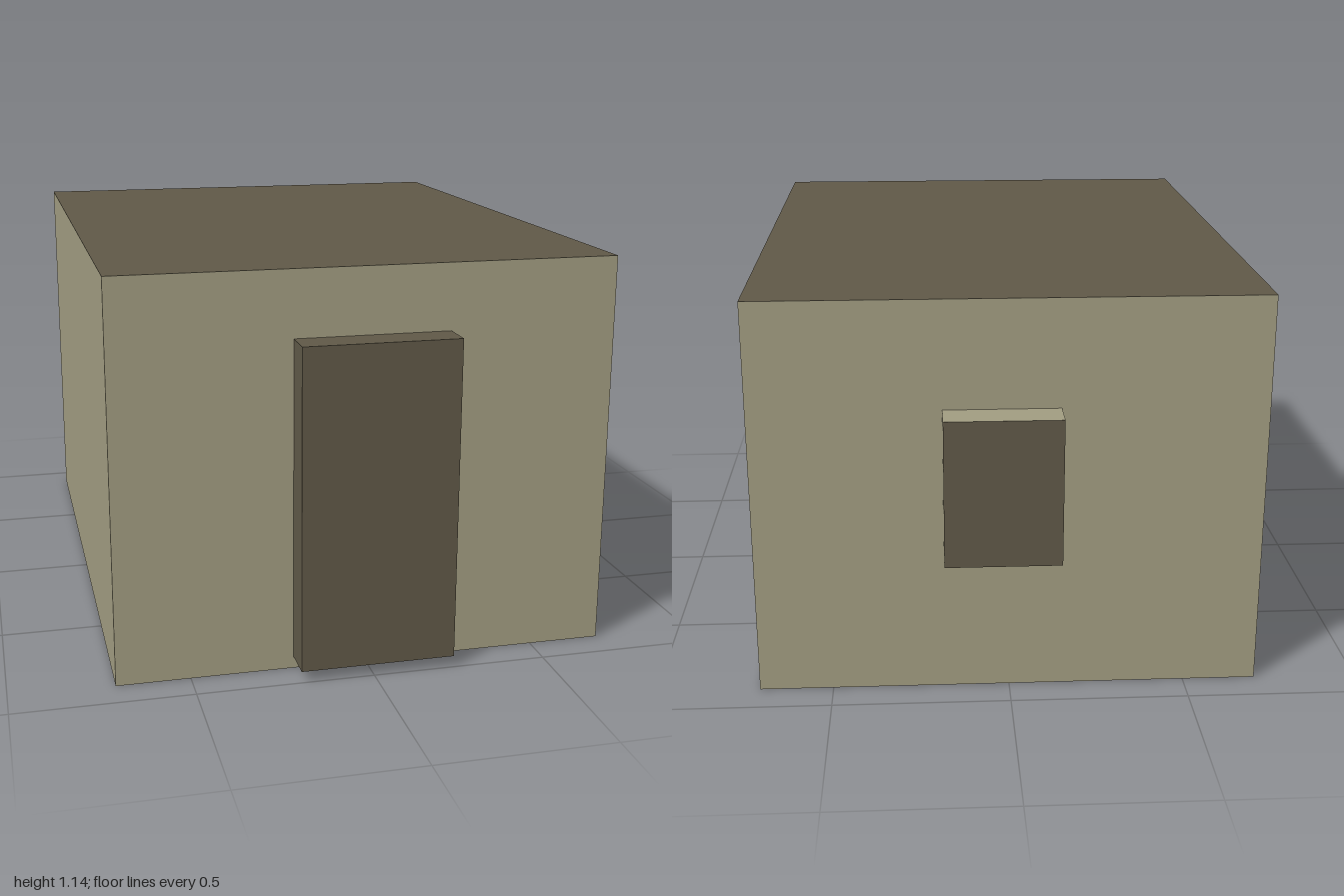
import * as THREE from 'three';

export function createModel() {
  const model = new THREE.Group();

  const wall = new THREE.MeshStandardMaterial({ name: 'wall stone', color: 0xa09b80 });
  const dark = new THREE.MeshStandardMaterial({ name: 'dark timber', color: 0x5f5847 });

  // Box from its minimum and maximum corners; materials run +x, -x, +y, -y, +z, -z
  function addBox(name, min, max, material) {
    const size = max.map((v, i) => v - min[i]);
    const mesh = new THREE.Mesh(new THREE.BoxGeometry(...size), material);
    mesh.position.set(...max.map((v, i) => (v + min[i]) / 2));
    mesh.name = name;
    model.add(mesh);
  }

  // House body: pale walls, dark flat roof and floor
  addBox('house', [-0.708, 0, -0.903], [0.708, 1.136, 0.903], [wall, wall, dark, dark, wall, wall]);

  // Door standing proud of the front wall
  addBox('door', [-0.208, 0.033, 0.903], [0.232, 0.948, 1], dark);

  // Rear window: pale frame around a dark pane
  addBox('window', [-0.14, 0.412, -1], [0.182, 0.83, -0.903], [wall, wall, wall, wall, wall, dark]);

  return model;
}
